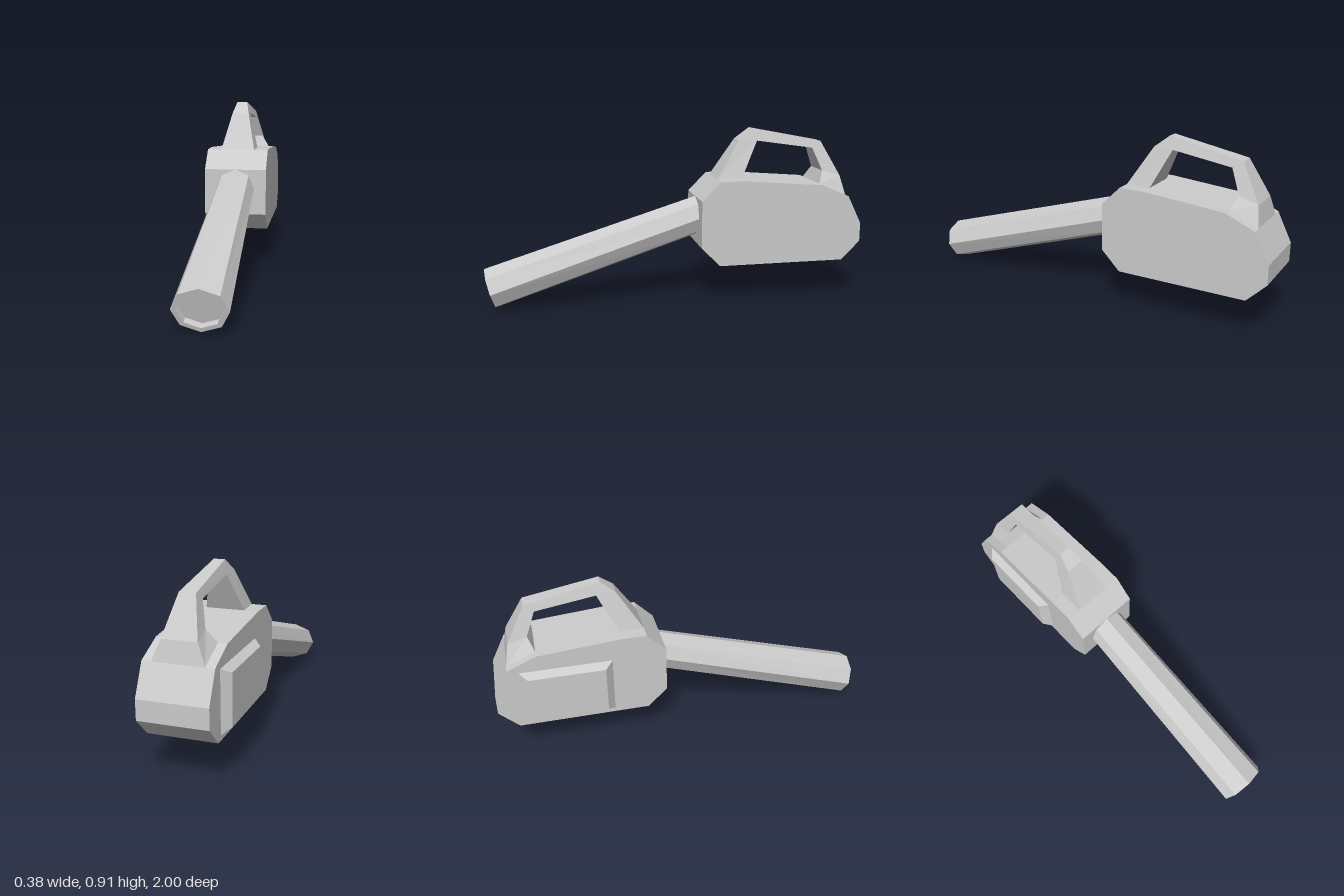
import * as THREE from 'three';

const CX = 0.02; // centre line of body, handle and tube
const material = new THREE.MeshStandardMaterial({ color: 0xcccccc, flatShading: true });

// Skin a list of equal-length rings; optionally close the last one.
function loft(name, rings, capEnd = false) {
  const pos = [];
  const tri = (a, b, c) => {
    if (new THREE.Triangle(a, b, c).getArea() < 1e-8) return;
    for (const p of [a, b, c]) pos.push(p.x, p.y, p.z);
  };
  const n = rings[0].length;
  for (let s = 0; s < rings.length - 1; s++) {
    const a = rings[s], b = rings[s + 1];
    for (let i = 0; i < n; i++) {
      const j = (i + 1) % n;
      tri(a[i], a[j], b[j]);
      tri(a[i], b[j], b[i]);
    }
  }
  if (capEnd) {
    const e = rings[rings.length - 1];
    for (let i = 1; i < n - 1; i++) tri(e[0], e[i], e[i + 1]);
  }
  const geo = new THREE.BufferGeometry();
  geo.setAttribute('position', new THREE.Float32BufferAttribute(pos, 3));
  geo.computeVertexNormals();
  const mesh = new THREE.Mesh(geo, material);
  mesh.name = name;
  return mesh;
}

// Eight-sided ring facing +z, its top leaning forward by tilt.
function octagon(y, z, rx, ry, tilt) {
  return Array.from({ length: 8 }, (_, i) => {
    const a = (i * Math.PI) / 4, v = Math.sin(a) * ry;
    return new THREE.Vector3(CX + Math.cos(a) * rx, y + v * Math.cos(tilt), z + v * Math.sin(tilt));
  });
}

function createBody() {
  // Side profile as [z, y], extruded across the width
  const profile = [
    [-0.22, 0.21], [-0.12, 0.31], [-0.12, 0.56], [-0.22, 0.66], [-0.35, 0.66],
    [-0.775, 0.625], [-0.925, 0.56], [-1, 0.41], [-1, 0.31], [-0.9, 0.21],
  ];
  const shape = new THREE.Shape(profile.map(([z, y]) => new THREE.Vector2(z, y)));
  const geo = new THREE.ExtrudeGeometry(shape, { depth: 0.34, bevelEnabled: false });
  geo.rotateY(-Math.PI / 2).translate(CX + 0.17, 0, 0);
  const mesh = new THREE.Mesh(geo, material);
  mesh.name = 'body';
  return mesh;
}

function createHandle() {
  // Outer z, y, half width; inner z, y, half width
  const sections = [
    [-0.22, 0.66, 0.093, -0.35, 0.66, 0.098],
    [-0.345, 0.86, 0.046, -0.445, 0.855, 0.046],
    [-0.42, 0.92, 0.028, -0.445, 0.855, 0.046],
    [-0.805, 0.845, 0.04, -0.755, 0.81, 0.05],
    [-0.905, 0.66, 0.085, -0.805, 0.69, 0.08],
    [-0.925, 0.56, 0.125, -0.775, 0.625, 0.125],
  ];
  return loft('handle', sections.map(([oz, oy, ow, iz, iy, iw]) => [
    new THREE.Vector3(CX - ow, oy, oz),
    new THREE.Vector3(CX + ow, oy, oz),
    new THREE.Vector3(CX + iw, iy, iz),
    new THREE.Vector3(CX - iw, iy, iz),
  ]));
}

function createTube() {
  // Flared tube, flat rim and a shallow recess with a floor
  const tilt = 0.285;
  const y = 0.11, z = 0.97, depth = 0.035;
  return loft('nozzleTube', [
    octagon(0.455, -0.12, 0.105, 0.105, 0),
    octagon(y, z, 0.128, 0.109, tilt),
    octagon(y, z, 0.104, 0.088, tilt),
    octagon(y + depth * Math.sin(tilt), z - depth * Math.cos(tilt), 0.104, 0.088, tilt),
  ], true);
}

function createSidePanel() {
  // Raised rectangle with sloping edges on the right side
  const rect = (x, z0, z1, y0, y1) => [[z0, y0], [z1, y0], [z1, y1], [z0, y1]]
    .map(([z, y]) => new THREE.Vector3(x, y, z));
  return loft('sidePanel', [
    rect(-0.15, -0.87, -0.4, 0.235, 0.54),
    rect(-0.19, -0.83, -0.44, 0.263, 0.515),
  ], true);
}

export function createModel() {
  const model = new THREE.Group();
  model.name = 'handheldBlower';
  model.add(createBody(), createHandle(), createTube(), createSidePanel());
  return model;
}
